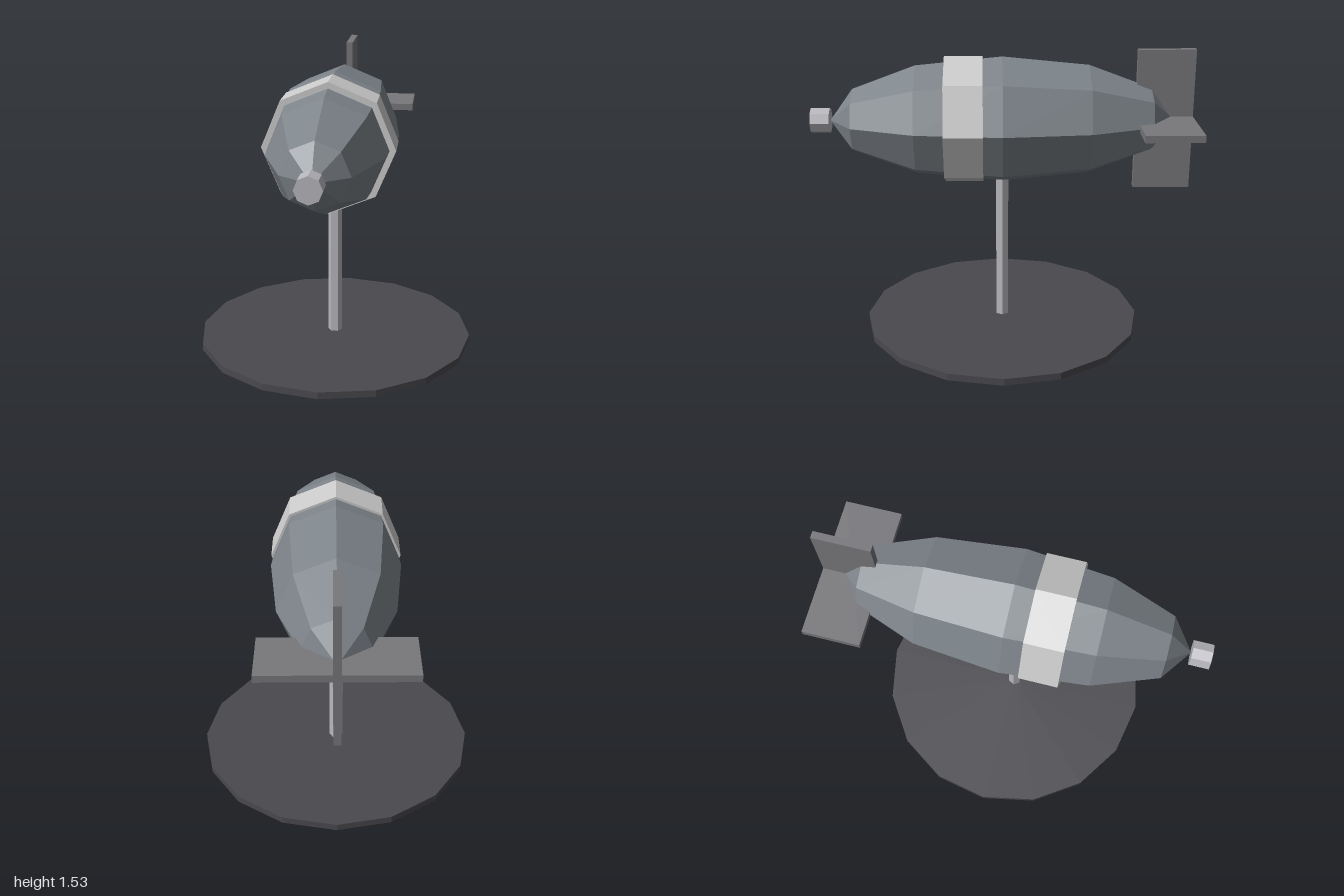
import * as THREE from 'three';

const AXIS_Y = 1.155; // height of the hull axis

export function createModel() {
  const model = new THREE.Group();
  model.name = 'airshipOnStand';

  const mat = (color) => new THREE.MeshStandardMaterial({ color, flatShading: true });
  const hullMat = mat(0x7d848a);
  const bandMat = mat(0xcccccc);
  const finMat = mat(0x78787c);
  const metalMat = mat(0xb8b8be);
  const baseMat = mat(0x4a494e);

  const add = (name, geometry, material, x, y, z) => {
    const mesh = new THREE.Mesh(geometry, material);
    mesh.name = name;
    mesh.position.set(x, y, z);
    model.add(mesh);
    return mesh;
  };

  // Eight-sided hull: a coarse sphere stretched along z
  const hull = new THREE.SphereGeometry(1, 8, 6);
  hull.rotateX(Math.PI / 2);
  hull.scale(0.337, 0.337, 0.9);
  add('hull', hull, hullMat, 0, AXIS_Y, 0);

  // Band around the hull and the nose cap, both eight-sided along z
  const alongZ = (r, length) => new THREE.CylinderGeometry(r, r, length, 8).rotateX(Math.PI / 2);
  add('band', alongZ(0.34, 0.2), bandMat, 0, AXIS_Y, 0.2);
  add('noseCap', alongZ(0.067, 0.1), metalMat, 0, AXIS_Y, 0.95);

  // Crossed tail fins
  add('verticalFin', new THREE.BoxGeometry(0.037, 0.746, 0.3), finMat, 0, AXIS_Y, -0.85);
  add('horizontalFin', new THREE.BoxGeometry(0.746, 0.037, 0.3), finMat, 0, AXIS_Y, -0.85);

  // Hexagonal post and sixteen-sided base
  const post = new THREE.CylinderGeometry(0.0375, 0.0375, 0.85, 6).rotateY(Math.PI / 2);
  add('post', post, metalMat, 0, 0.425, 0);
  add('base', new THREE.CylinderGeometry(0.745, 0.745, 0.037, 16), baseMat, 0, 0.0185, 0);

  return model;
}
